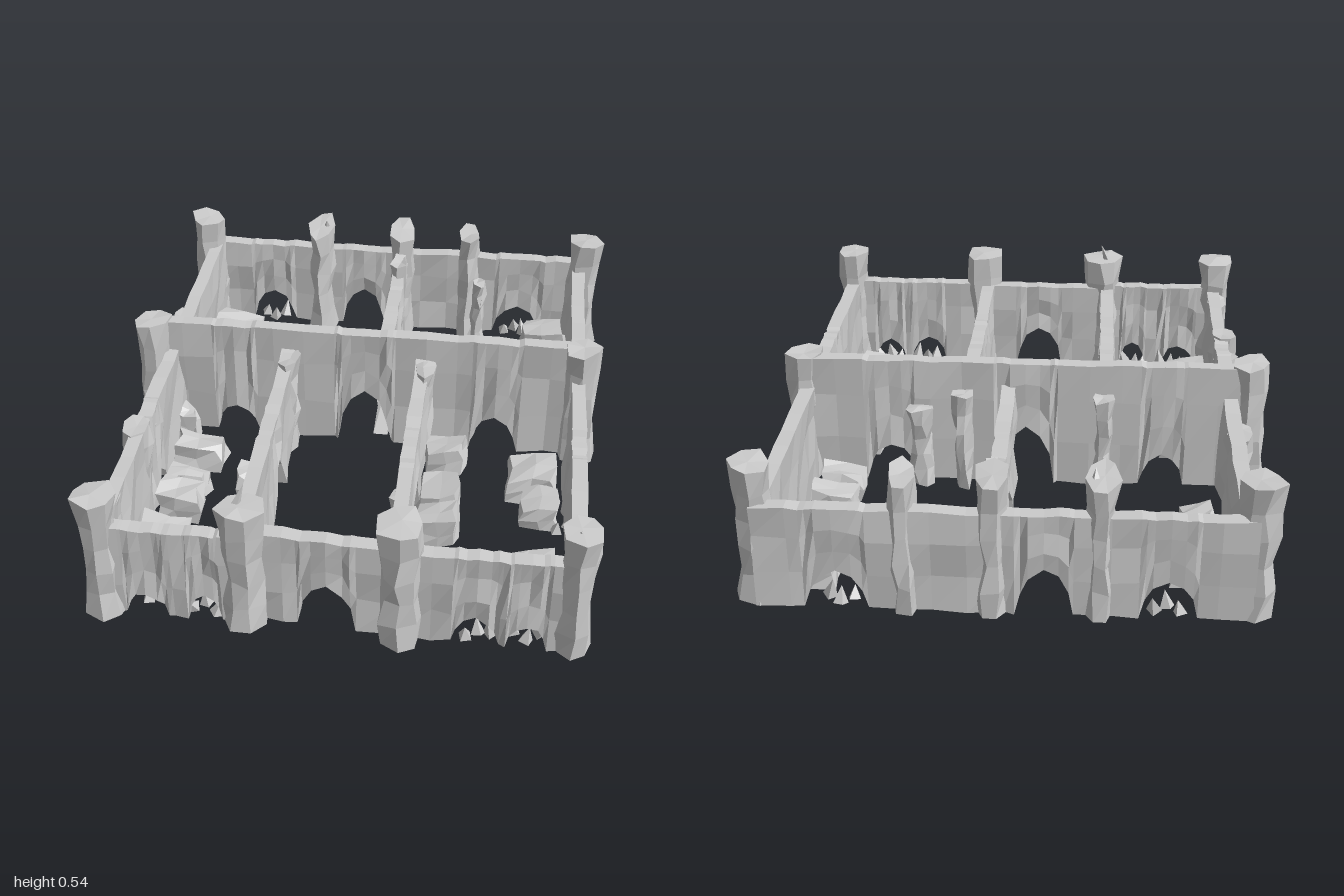
import * as THREE from 'three';

const stone = new THREE.MeshStandardMaterial({ color: 0xcccccc, flatShading: true, side: THREE.DoubleSide });

// Repeatable noise in -1..1 taken from a position, so shared corners stay joined
function noise(x, y, z, k) {
  const r = (v) => Math.round(v * 500) / 500;
  const s = Math.sin(r(x) * 127.1 + r(y) * 311.7 + r(z) * 74.7 + k * 53.3) * 43758.5453;
  return (s - Math.floor(s)) * 2 - 1;
}

// Roughen a geometry while keeping its base on the ground
function chip(geometry, amount, seed) {
  const p = geometry.attributes.position;
  for (let i = 0; i < p.count; i++) {
    const x = p.getX(i), y = p.getY(i), z = p.getZ(i);
    const dy = y > 0.01 ? noise(x, y, z, seed + 1) * amount * 0.6 : 0;
    p.setXYZ(i, x + noise(x, y, z, seed) * amount, y + dy, z + noise(x, y, z, seed + 2) * amount);
  }
  geometry.computeVertexNormals();
  return geometry;
}

function add(group, name, geometry, x = 0, y = 0, z = 0) {
  const mesh = new THREE.Mesh(geometry, stone);
  mesh.name = name;
  mesh.position.set(x, y, z);
  group.add(mesh);
  return mesh;
}

// Wall between two plan points; gaps are [centre, width, height] along its length
function wall(group, name, [x0, z0], [x1, z1], height, gaps = [], riseAtStart = 0) {
  const length = Math.hypot(x1 - x0, z1 - z0), half = 0.025;
  const stations = [];
  const inGap = (s) => gaps.some(([c, w]) => Math.abs(s - c) < w / 2 + 0.01);
  const count = Math.round(length / 0.11);
  for (let i = 0; i <= count; i++) {
    const s = (i / count) * length;
    if (!inGap(s)) stations.push([s, 0]);
  }
  for (const [c, w, h] of gaps) {
    for (const [u, v] of [[-0.5, 0], [-0.42, 0.5], [-0.25, 0.85], [0, 1], [0.27, 0.8], [0.4, 0.45], [0.5, 0]]) {
      stations.push([c + u * w, v * h]);
    }
  }
  stations.sort((a, b) => a[0] - b[0]);

  const position = [], index = [], levels = [0, 0.35, 0.7, 1], ring = levels.length * 2;
  stations.forEach(([s, bottom], i) => {
    const top = height + riseAtStart * Math.max(0, 1 - s / 0.16);
    for (let j = 0; j < ring; j++) {
      const side = j < levels.length ? 1 : -1;
      const t = levels[side > 0 ? j : ring - 1 - j];
      const y = bottom + (top - bottom) * t;
      const bulge = t === 1 ? 0.003 : 0.011;
      position.push(s, y + (t === 1 ? noise(s, y, 0, 3) * 0.004 : 0), side * half + noise(s, y, side, x0 + z1) * bulge);
      if (i) {
        const a = (i - 1) * ring + j, d = (i - 1) * ring + (j + 1) % ring;
        index.push(a, a + ring, d + ring, a, d + ring, d);
      }
    }
  });
  const geometry = new THREE.BufferGeometry();
  geometry.setAttribute('position', new THREE.Float32BufferAttribute(position, 3));
  geometry.setIndex(index);
  geometry.computeVertexNormals();
  add(group, name, geometry, x0, 0, z0).rotation.y = -Math.atan2(z1 - z0, x1 - x0);
}

// Faceted column with a flared foot and head
function pillar(group, name, x, z, rx, rz, height, seed) {
  const geometry = new THREE.CylinderGeometry(1, 1, height, 7, 5);
  geometry.translate(0, height / 2, 0);
  const p = geometry.attributes.position;
  for (let i = 0; i < p.count; i++) {
    const t = p.getY(i) / height;
    const flare = 0.84 + 0.16 * Math.abs(t * 2 - 1) ** 2;
    p.setXYZ(i, p.getX(i) * rx * flare, p.getY(i), p.getZ(i) * rz * flare);
  }
  add(group, name, chip(geometry, 0.011, seed), x, 0, z).rotation.y = rx === rz ? seed * 0.7 : 0;
}

// Broken block, narrower and tilted at the top
function rock(group, name, x, z, w, d, h, seed) {
  const geometry = new THREE.BoxGeometry(w, h, d, 2, 2, 2);
  geometry.translate(0, h / 2, 0);
  const p = geometry.attributes.position;
  for (let i = 0; i < p.count; i++) {
    const t = p.getY(i) / h, u = p.getX(i) / w;
    p.setXYZ(i, p.getX(i) * (1 - 0.15 * t), p.getY(i) * (1 + 0.25 * u * Math.sign(x)), p.getZ(i) * (1 - 0.15 * t));
  }
  add(group, name, chip(geometry, 0.014, seed), x, 0, z);
}

function shard(group, x, y, z, r, h, seed) {
  const geometry = new THREE.ConeGeometry(r, h, 4);
  geometry.translate(0, h / 2, 0);
  const mesh = add(group, 'stoneShard', geometry, x, y, z);
  mesh.rotation.set(noise(x, z, 1, seed) * 0.5, seed, noise(x, z, 2, seed) * 0.5);
}

export function createModel() {
  const model = new THREE.Group();
  model.name = 'ruinedRooms';
  const walls = new THREE.Group(), pillars = new THREE.Group(), rubble = new THREE.Group();
  walls.name = 'walls';
  pillars.name = 'pillars';
  rubble.name = 'rubble';
  model.add(walls, pillars, rubble);

  // Outer walls
  const low = 0.35;
  wall(walls, 'leftSideWall', [0.77, -0.9], [0.77, 0.88], low, [[1.22, 0.12, 0.05]]);
  wall(walls, 'rightSideWall', [-0.71, -0.92], [-0.71, 0.88], low, [[1.2, 0.14, 0.07]]);
  wall(walls, 'backWall', [-0.74, -0.92], [0.79, -0.92], low, [[0.26, 0.18, 0.13], [0.64, 0.18, 0.16], [1.28, 0.2, 0.13]]);
  wall(walls, 'frontWallRight', [-0.72, 0.88], [-0.26, 0.88], low, [[0.14, 0.14, 0.09], [0.33, 0.11, 0.1]]);
  wall(walls, 'frontWallMiddle', [-0.26, 0.85], [0.22, 0.87], low, [[0.26, 0.19, 0.17]]);
  wall(walls, 'frontWallLeft', [0.22, 0.88], [0.77, 0.88], low, [[0.25, 0.15, 0.1], [0.41, 0.13, 0.09]]);

  // Taller cross wall and the room dividers
  wall(walls, 'crossWall', [-0.78, -0.12], [0.78, -0.12], 0.465, [[0.3, 0.16, 0.12], [0.78, 0.2, 0.22], [1.26, 0.18, 0.14]]);
  wall(walls, 'backDivider', [0.06, -0.13], [0.06, -0.92], low, [[0.4, 0.2, 0.2]], 0.03);
  wall(walls, 'frontDividerRight', [-0.28, -0.12], [-0.28, 0.88], low, [[0.42, 0.2, 0.2]], 0.04);
  wall(walls, 'frontDividerLeft', [0.21, -0.12], [0.21, 0.88], low, [[0.5, 0.22, 0.2]], 0.04);

  // Columns at corners and junctions: x, z, radius x, radius z, height
  [
    [-0.74, -0.89, 0.07, 0.07, 0.47], [0.79, -0.88, 0.07, 0.07, 0.47],
    [-0.78, -0.1, 0.07, 0.07, 0.47], [0.78, -0.1, 0.068, 0.068, 0.47],
    [-0.72, 0.88, 0.066, 0.07, 0.47], [0.77, 0.88, 0.066, 0.07, 0.475],
    [-0.26, 0.88, 0.075, 0.075, 0.47], [0.23, 0.9, 0.075, 0.085, 0.47],
    [-0.27, -0.88, 0.055, 0.11, 0.46], [0.06, -0.89, 0.055, 0.1, 0.46], [0.33, -0.9, 0.045, 0.09, 0.46],
  ].forEach((c, i) => pillar(pillars, 'pillar', ...c, i + 1));

  // Shorter buttresses leaning on the walls
  [
    [-0.27, -0.16, 0.035, 0.065, 0.36], [0.22, -0.16, 0.035, 0.06, 0.36],
    [-0.27, -0.05, 0.035, 0.07, 0.38], [0.22, -0.05, 0.035, 0.08, 0.38],
    [-0.72, 0.39, 0.05, 0.06, 0.36], [-0.73, 0.31, 0.045, 0.05, 0.3],
    [-0.73, -0.34, 0.04, 0.07, 0.33], [-0.72, 0.74, 0.035, 0.08, 0.34], [0.06, -0.75, 0.03, 0.06, 0.4],
    [0.38, -0.82, 0.03, 0.04, 0.28], [0.37, -0.16, 0.045, 0.04, 0.3], [0.18, 0.4, 0.03, 0.04, 0.16],
  ].forEach((c, i) => pillar(pillars, 'buttress', ...c, i + 20));

  // Fallen blocks beside the walls: x, z, width, depth, height
  [
    [-0.59, -0.71, 0.2, 0.13, 0.1], [-0.52, -0.58, 0.08, 0.15, 0.08], [-0.59, -0.44, 0.13, 0.1, 0.09], [-0.63, -0.54, 0.08, 0.1, 0.06],
    [0.65, -0.79, 0.17, 0.14, 0.11], [0.64, -0.53, 0.16, 0.11, 0.09], [0.64, -0.39, 0.16, 0.11, 0.1], [0.64, -0.25, 0.16, 0.11, 0.09],
    [-0.58, 0.11, 0.18, 0.12, 0.1], [-0.59, 0.27, 0.15, 0.08, 0.08], [-0.59, 0.39, 0.16, 0.13, 0.1], [-0.6, 0.62, 0.18, 0.22, 0.1],
    [-0.36, 0.27, 0.09, 0.12, 0.1], [0.31, 0.02, 0.15, 0.13, 0.1], [0.31, 0.25, 0.15, 0.16, 0.09], [0.31, 0.41, 0.14, 0.12, 0.1],
    [0.63, 0.12, 0.17, 0.18, 0.1], [0.66, 0.27, 0.13, 0.15, 0.08], [0.62, 0.63, 0.21, 0.14, 0.1],
    [0.71, -0.68, 0.08, 0.26, 0.07], [-0.66, -0.04, 0.07, 0.08, 0.12],
  ].forEach((r, i) => rock(rubble, 'fallenBlock', ...r, i + 40));

  // Wedge of loose stone on the floor of the back room
  const wedge = new THREE.Shape([[-0.35, -0.48], [-0.22, -0.59], [-0.1, -0.59], [-0.14, -0.44]].map(([x, z]) => new THREE.Vector2(x, -z)));
  const slab = new THREE.ExtrudeGeometry(wedge, { depth: 0.05, bevelEnabled: false });
  slab.rotateX(-Math.PI / 2);
  add(rubble, 'floorWedge', slab);

  // Small debris in the gaps and splinters on the column heads
  for (const [cx, cz] of [[-0.55, 0.86], [-0.4, 0.86], [0.48, 0.86], [0.63, 0.86], [-0.48, -0.9], [0.53, -0.9], [-0.7, 0.27], [0.76, 0.32]]) {
    for (let k = 0; k < 3; k++) shard(rubble, cx + (k - 1) * 0.04, 0.005, cz + noise(cx, cz, k, 5) * 0.03, 0.025, 0.045 + k * 0.012, k + 1);
  }
  shard(pillars, -0.28, 0.45, 0.87, 0.018, 0.09, 0.4);
  shard(pillars, 0.77, 0.45, 0.87, 0.02, 0.05, 0.8);
  shard(pillars, -0.25, 0.44, -0.9, 0.02, 0.05, 1.2);
  return model;
}
